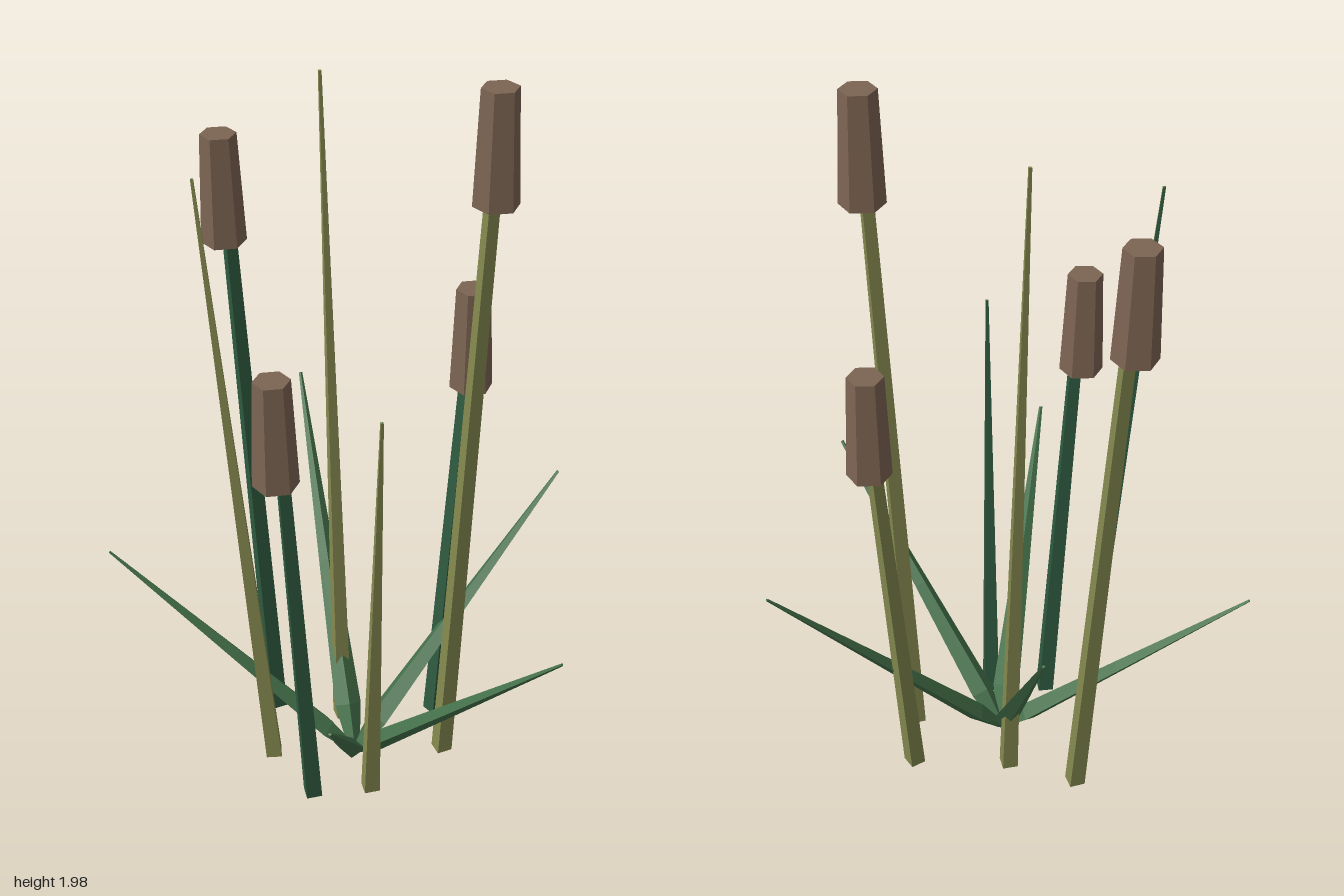
import * as THREE from 'three';

const mat = (color) => new THREE.MeshStandardMaterial({ color, flatShading: true });

export function createModel() {
  const group = new THREE.Group();
  const olive = mat(0x85894f), green = mat(0x2f5a40), leafGreen = mat(0x44704a), brown = mat(0x7c6452);

  const add = (geometry, material, name, parent = group) => {
    const mesh = new THREE.Mesh(geometry, material);
    mesh.name = name;
    parent.add(mesh);
    return mesh;
  };

  // One lengthwise half of a leaning four-sided stem, with level ends
  const halfStem = (from, to, rTop, start) => {
    const h = to[1] - from[1];
    const g = new THREE.CylinderGeometry(rTop, 0.03, h, 2, 1, false, start, Math.PI);
    const p = g.attributes.position;
    for (let i = 0; i < p.count; i++) {
      const t = p.getY(i) / h + 0.5;
      p.setXYZ(i,
        p.getX(i) + from[0] + (to[0] - from[0]) * t,
        from[1] + h * t,
        p.getZ(i) + from[2] + (to[2] - from[2]) * t);
    }
    g.computeVertexNormals();
    return g;
  };

  // Stems: base, top, the two side colours, angle the first colour faces, optional head centre
  const stems = [
    { from: [-0.3, 0.03, 0.035], to: [-0.375, 1.2, 0.055], a: green, b: green, turn: 20, head: [-0.395, 1.12, 0.06] },
    { from: [0.18, 0.03, -0.015], to: [0.28, 1.18, -0.015], a: olive, b: green, turn: 135, head: [0.285, 1.095, -0.012] },
    { from: [0.09, 0.03, 0.125], to: [0.163, 1.8, 0.18], a: olive, b: olive, turn: 30, head: [0.17, 1.715, 0.18] },
    { from: [-0.16, 0.03, -0.32], to: [-0.176, 1.6, -0.415], a: olive, b: green, turn: 120, head: [-0.18, 1.5, -0.427] },
    { from: [-0.29, 0.03, -0.16], to: [-0.38, 1.79, -0.24], a: olive, b: green, turn: 10 },
    { from: [-0.04, 0.03, -0.165], to: [0, 1.95, -0.255], a: olive, b: olive, turn: 25 },
    { from: [-0.165, 0.03, 0.12], to: [-0.21, 1.3, 0.23], a: olive, b: green, turn: 290 },
  ];
  for (const { from, to, a, b, turn, head } of stems) {
    const stem = new THREE.Group();
    stem.name = head ? 'reedStem' : 'bareStem';
    const start = THREE.MathUtils.degToRad(turn) - Math.PI / 2;
    const rTop = head ? 0.02 : 0.005;
    add(halfStem(from, to, rTop, start), a, 'stemSide', stem);
    add(halfStem(from, to, rTop, start + Math.PI), b, 'stemOtherSide', stem);
    group.add(stem);
    // Six-sided seed head
    if (head) {
      const seed = add(new THREE.CylinderGeometry(0.045, 0.057, 0.285, 6), brown, 'seedHead');
      seed.position.set(head[0], head[1] + 0.1425, head[2]);
    }
  }

  // Leaves: diamond-section blades fanning out from one root
  const root = new THREE.Vector3(-0.105, 0.025, -0.027);
  const tips = [
    [-0.55, 0.66, -0.51], [0.18, 0.89, -0.62], [0.55, 0.75, 0.068],
    [0.032, 0.7, 0.62], [-0.55, 0.7, 0.455],
  ];
  for (const tip of tips) {
    const along = new THREE.Vector3(...tip).sub(root);
    const length = along.length();
    along.normalize();
    const profile = [[0, 0], [0.016, 0.004], [0.037, 0.12], [0.024, 0.5], [0.005, 1], [0, 1]]
      .map(([r, t]) => new THREE.Vector2(r, t * length));
    const blade = new THREE.LatheGeometry(profile, 4);
    blade.scale(1, 1, 0.75);
    const across = new THREE.Vector3(0, 1, 0).cross(along).normalize();
    const up = across.clone().cross(along);
    const leaf = add(blade, leafGreen, 'leaf');
    leaf.quaternion.setFromRotationMatrix(new THREE.Matrix4().makeBasis(across, along, up));
    leaf.position.copy(root);
  }
  return group;
}
